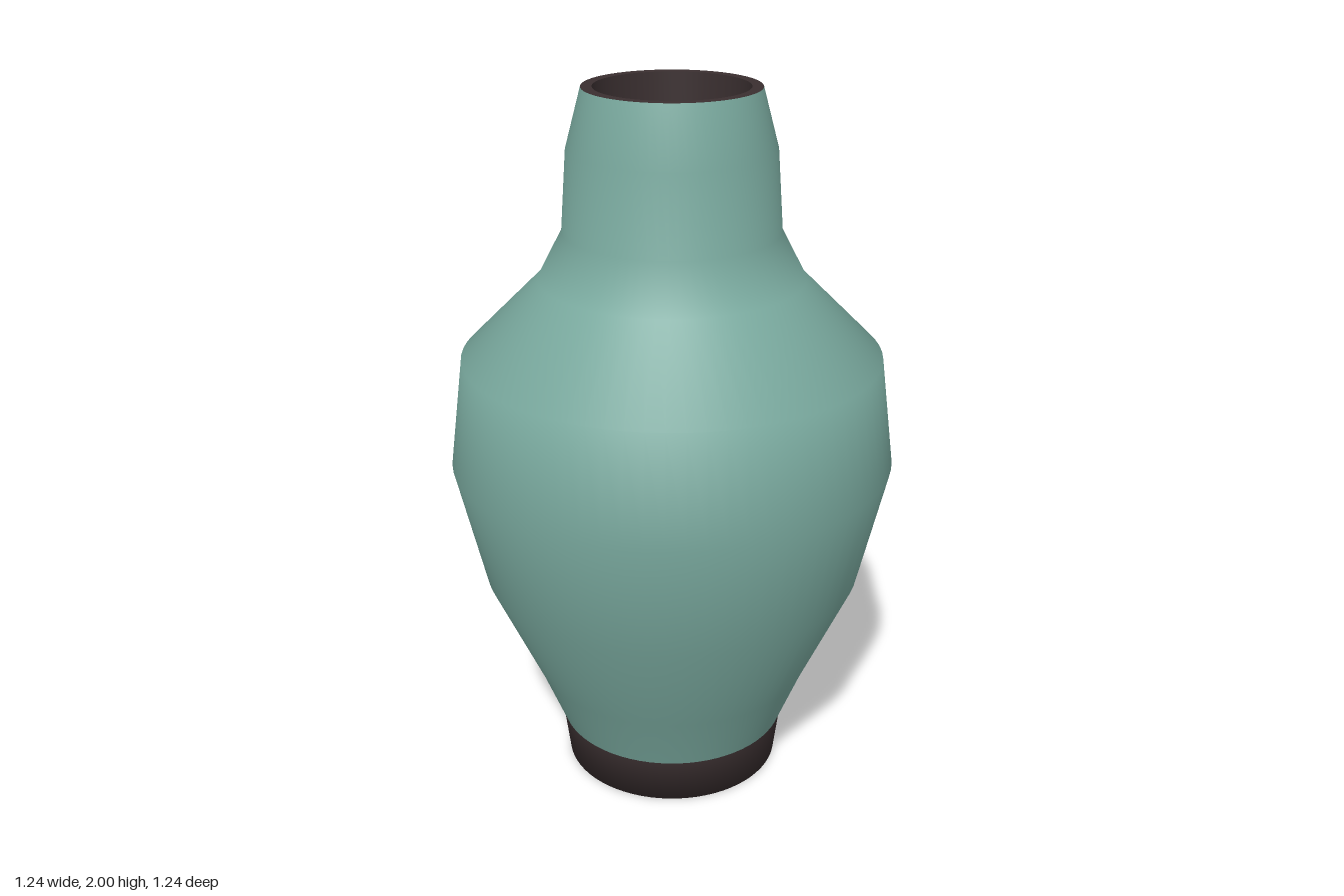
import * as THREE from 'three';

const SEGMENTS = 72;

// Revolve a list of [radius, height] pairs around the y axis
function revolve(name, profile, material) {
  const points = profile.map(([r, y]) => new THREE.Vector2(r, y));
  const mesh = new THREE.Mesh(new THREE.LatheGeometry(points, SEGMENTS), material);
  mesh.name = name;
  return mesh;
}

export function createModel() {
  const glaze = new THREE.MeshStandardMaterial({ color: 0x7aaa9f, side: THREE.DoubleSide });
  glaze.name = 'green glaze';
  const clay = new THREE.MeshStandardMaterial({ color: 0x3a2f30, side: THREE.DoubleSide });
  clay.name = 'dark clay';

  const vase = new THREE.Group();
  vase.name = 'vase';

  // Foot with closed underside
  vase.add(revolve('foot', [[0, 0], [0.313, 0], [0.33, 0.135]], clay));

  // Belly, shoulder and neck as one thin shell
  vase.add(revolve('body', [
    [0.33, 0.135], [0.4, 0.31], [0.54, 0.62], [0.62, 0.97], [0.58, 1.275],
    [0.364, 1.49], [0.296, 1.62], [0.28, 1.84], [0.237, 2],
  ], glaze));

  // Flat rim around the mouth
  vase.add(revolve('rim', [[0.237, 2], [0.207, 2]], clay));

  // Short inner lip, open to the hollow body
  vase.add(revolve('innerLip', [[0.207, 2], [0.203, 1.87]], clay));

  return vase;
}
